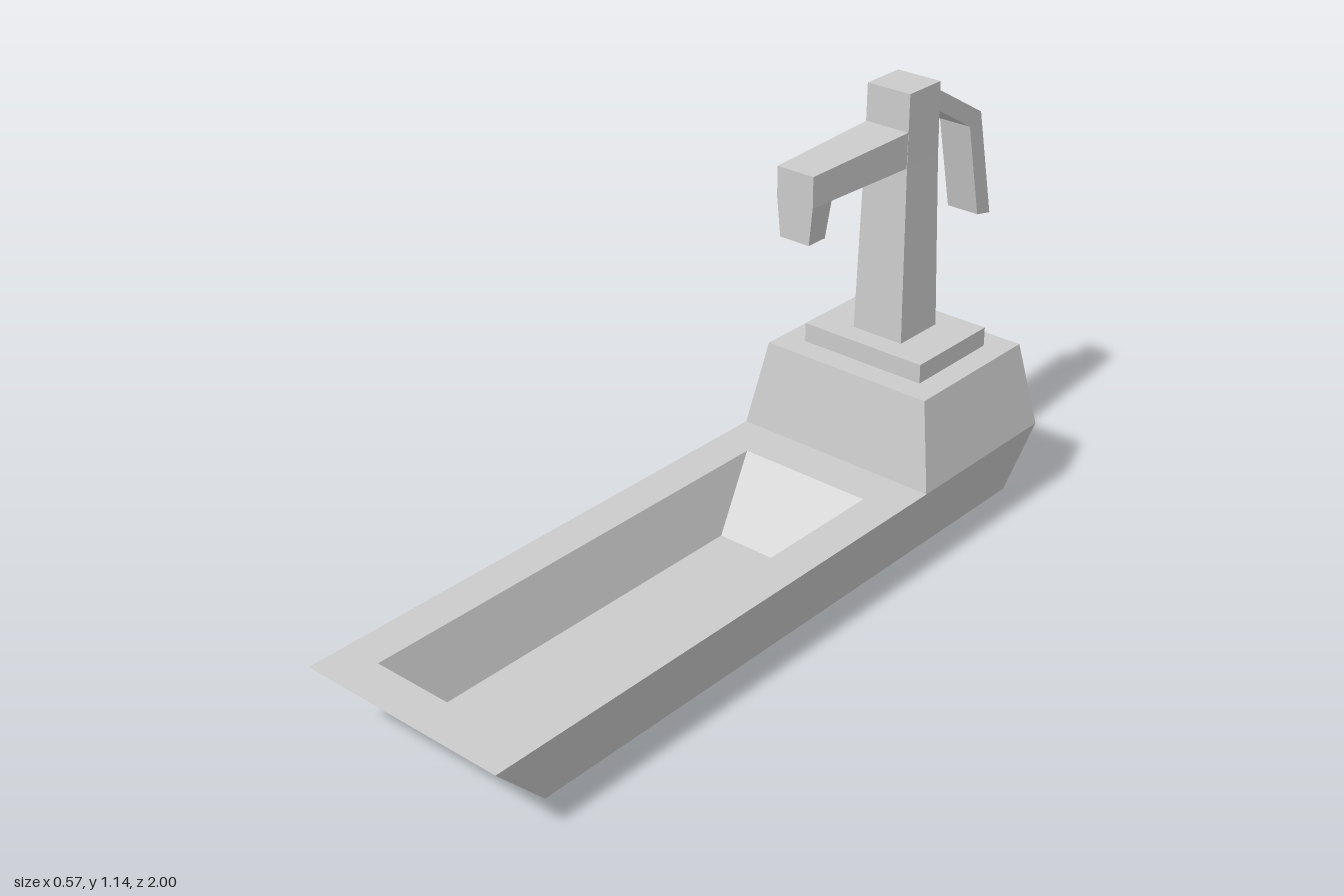
import * as THREE from 'three';

const material = new THREE.MeshStandardMaterial({ color: 0xcccccc, flatShading: true });

// Horizontal rectangle at height y, half width w, from z = back to z = front
const levelRing = (y, w, back, front) => [[-w, y, front], [w, y, front], [w, y, back], [-w, y, back]];
// Upright rectangle at depth z, half width w, from y = low to y = high
const uprightRing = (z, w, low, high) => [[-w, low, z], [w, low, z], [w, high, z], [-w, high, z]];

// Skin through four-cornered rings, capped at both ends
function loft(rings) {
  const points = [];
  const quad = (a, b, c, d) => points.push(...a, ...b, ...c, ...a, ...c, ...d);
  for (let r = 0; r < rings.length - 1; r++) {
    for (let i = 0; i < 4; i++) {
      const j = (i + 1) % 4;
      quad(rings[r][i], rings[r][j], rings[r + 1][j], rings[r + 1][i]);
    }
  }
  quad(...[...rings[0]].reverse());
  quad(...rings[rings.length - 1]);
  const geometry = new THREE.BufferGeometry();
  geometry.setAttribute('position', new THREE.Float32BufferAttribute(points, 3));
  geometry.computeVertexNormals();
  return geometry;
}

export function createModel() {
  const group = new THREE.Group();
  group.name = 'waterPumpTrough';
  const add = (name, geometry) => {
    const mesh = new THREE.Mesh(geometry, material);
    mesh.name = name;
    group.add(mesh);
  };

  // Trough: flared outside, flat rim, sloping basin walls and floor
  add('trough', loft([
    levelRing(0, 0.2, -0.91, 0.79),
    levelRing(0.225, 0.283, -0.91, 1),
    levelRing(0.225, 0.182, -0.32, 0.895),
    levelRing(0.065, 0.138, -0.17, 0.75),
  ]));

  // Tapered block carrying the pump
  add('pumpBase', loft([
    levelRing(0.225, 0.283, -0.91, -0.437),
    levelRing(0.45, 0.24, -0.875, -0.472),
  ]));

  add('plinth', loft([
    levelRing(0.45, 0.177, -0.81, -0.538),
    levelRing(0.5, 0.177, -0.81, -0.538),
  ]));

  add('post', loft([
    levelRing(0.5, 0.073, -0.745, -0.6),
    levelRing(0.955, 0.063, -0.733, -0.608),
    levelRing(1.14, 0.062, -0.73, -0.61),
  ]));

  // Spout arm narrowing towards the front, with a downturned nozzle
  add('spoutArm', loft([
    uprightRing(-0.62, 0.062, 0.955, 1.045),
    uprightRing(-0.265, 0.052, 0.96, 1.037),
  ]));
  add('spoutNozzle', loft([
    levelRing(0.865, 0.042, -0.325, -0.266),
    levelRing(0.962, 0.052, -0.335, -0.265),
  ]));

  // Bent handle, drawn from the side (distance back, height)
  const profile = [[0.72, 1.075], [0.89, 0.975], [0.945, 0.725], [1, 0.713], [0.935, 1.002], [0.72, 1.127]];
  const shape = new THREE.Shape(profile.map(([x, y]) => new THREE.Vector2(x, y)));
  const handle = new THREE.ExtrudeGeometry(shape, { depth: 0.09, bevelEnabled: false });
  handle.translate(0, 0, -0.045).rotateY(Math.PI / 2);
  add('handle', handle);

  return group;
}
